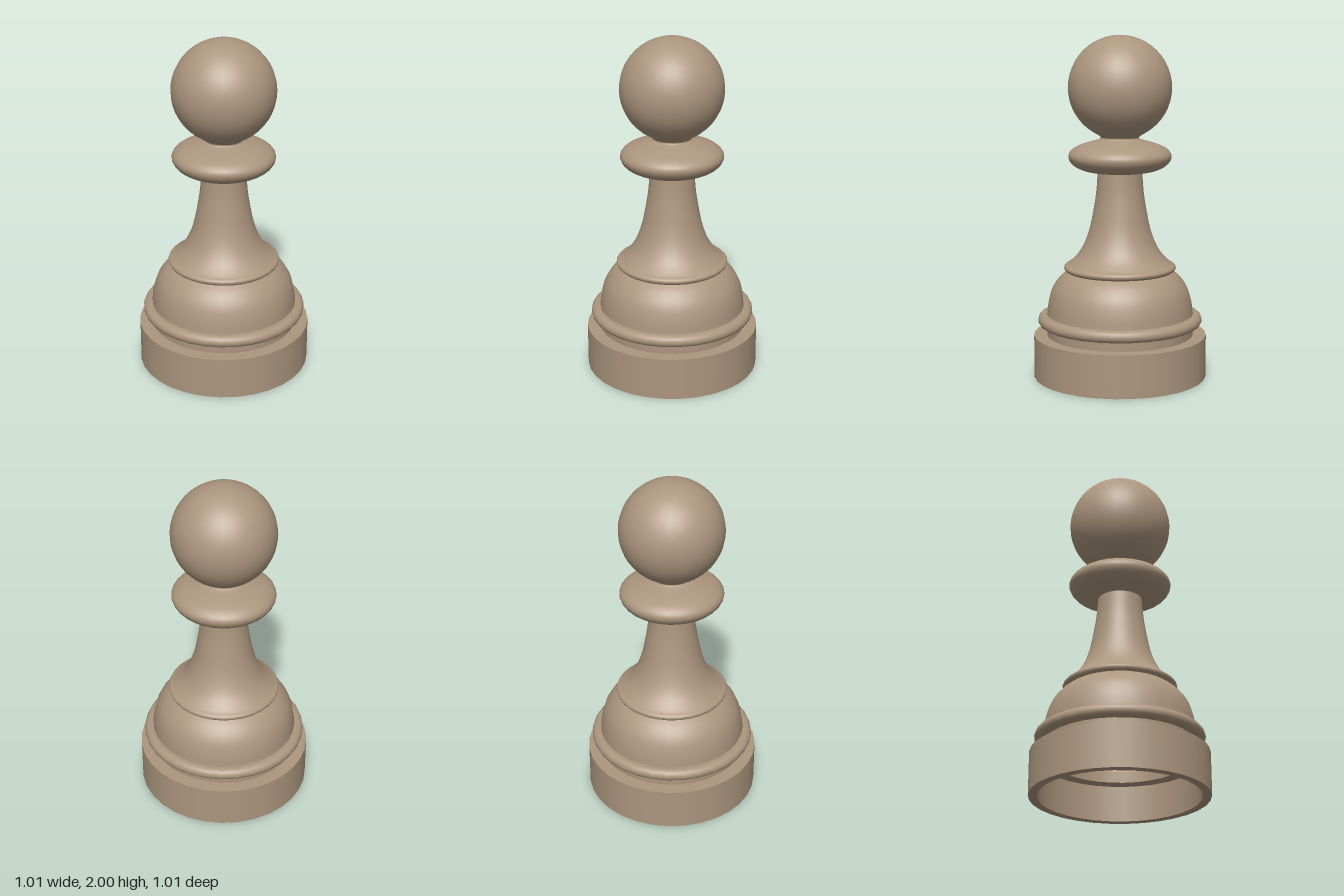
import * as THREE from 'three';

const SIDES = 32;

export function createModel() {
  const wood = new THREE.MeshStandardMaterial({ color: 0xac967e });
  wood.name = 'brown wood';
  const pawn = new THREE.Group();
  pawn.name = 'pawn';

  const vec = (points) => points.map(([r, y]) => new THREE.Vector2(r, y));
  const smooth = (points, n = 20) => new THREE.SplineCurve(vec(points)).getPoints(n);

  // Turned part; each run of [radius, y] points is smooth, runs meet at sharp edges
  function turned(name, ...runs) {
    const part = new THREE.Group();
    part.name = name;
    runs.forEach((points) => {
      const mesh = new THREE.Mesh(new THREE.LatheGeometry(points, SIDES), wood);
      mesh.name = name + 'Surface';
      part.add(mesh);
    });
    pawn.add(part);
  }

  // Hollow base ring, open underneath, with a ledge inside
  turned('base',
    vec([[0.38, 0.21], [0.457, 0.21]]),
    vec([[0.457, 0.21], [0.457, 0]]),
    vec([[0.457, 0], [0.507, 0]]),
    vec([[0.507, 0], [0.507, 0.25]]),
    vec([[0.507, 0.25], [0.43, 0.25]]));

  // Short collar between base and ring
  turned('baseNeck', vec([[0.43, 0.25], [0.43, 0.305]]));

  // Inner wall of the hollow body, from the top down to the ledge
  turned('innerWall',
    smooth([[0, 1.21], [0.08, 1.2], [0.09, 1.1], [0.104, 1.0], [0.127, 0.88],
      [0.16, 0.78], [0.21, 0.7], [0.265, 0.645]], 30),
    smooth([[0.265, 0.645], [0.262, 0.595], [0.312, 0.56], [0.345, 0.52],
      [0.365, 0.47], [0.376, 0.41], [0.38, 0.345]], 24),
    smooth([[0.38, 0.345], [0.4, 0.335], [0.405, 0.31], [0.4, 0.285], [0.38, 0.275]], 10),
    vec([[0.38, 0.275], [0.38, 0.21]]));

  // Rounded ring under the dome
  const bead = [];
  for (let i = 0; i <= 10; i++) {
    const a = -Math.PI / 2 + (i / 10) * Math.PI;
    bead.push([0.447 + 0.035 * Math.cos(a), 0.34 + 0.035 * Math.sin(a)]);
  }
  turned('baseRing',
    vec([[0.43, 0.305], [0.447, 0.305]]),
    vec(bead),
    vec([[0.447, 0.375], [0.43, 0.375]]));

  // Domed body
  turned('dome', smooth([[0.43, 0.375], [0.422, 0.44], [0.405, 0.505],
    [0.381, 0.553], [0.345, 0.597], [0.305, 0.628]]));

  // Lip and flared stem
  turned('stem',
    vec([[0.29, 0.628], [0.312, 0.628]]),
    smooth([[0.312, 0.628], [0.324, 0.638], [0.328, 0.652], [0.32, 0.664], [0.295, 0.68],
      [0.245, 0.73], [0.205, 0.8], [0.175, 0.89], [0.153, 1.0], [0.138, 1.1], [0.13, 1.21]], 40));

  // Disc collar, flowing into the narrow neck below the head
  turned('collar',
    vec([[0.1, 1.21], [0.14, 1.21]]),
    smooth([[0.14, 1.21], [0.21, 1.222], [0.27, 1.251], [0.298, 1.29], [0.293, 1.325],
      [0.255, 1.357], [0.19, 1.381], [0.14, 1.395], [0.112, 1.408], [0.122, 1.424],
      [0.166, 1.45]], 40));

  // Ball head
  const head = new THREE.Mesh(new THREE.SphereGeometry(0.3, SIDES, 24), wood);
  head.name = 'head';
  head.position.y = 1.7;
  pawn.add(head);

  return pawn;
}
